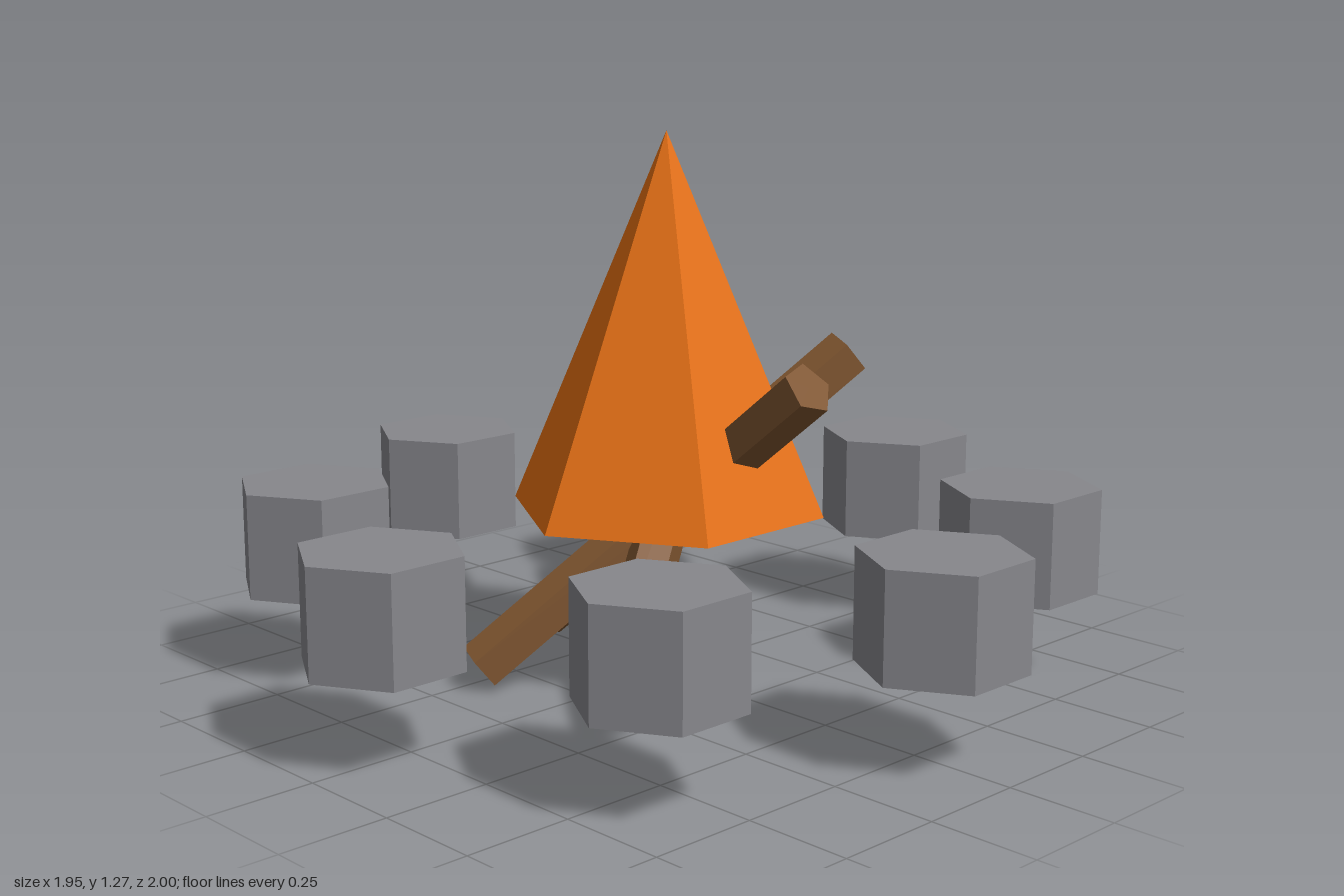
import * as THREE from 'three';

const material = (name, color) => {
  const m = new THREE.MeshStandardMaterial({ color, flatShading: true });
  m.name = name;
  return m;
};

export function createModel() {
  const model = new THREE.Group();
  model.name = 'campfire';
  const stoneGrey = material('stone grey', 0x87878c);
  const barkBrown = material('bark brown', 0x7f5530);
  const flameOrange = material('flame orange', 0xe67010);

  const add = (name, geometry, mat) => {
    const mesh = new THREE.Mesh(geometry, mat);
    mesh.name = name;
    model.add(mesh);
    return mesh;
  };

  // Ring of eight hexagonal stones, all facing the same way
  const stoneGeometry = new THREE.CylinderGeometry(0.185, 0.185, 0.246, 6);
  for (let i = 0; i < 8; i++) {
    const a = (i * Math.PI) / 4;
    add('stone' + (i + 1), stoneGeometry, stoneGrey)
      .position.set(Math.cos(a) * 0.815, 0.336, Math.sin(a) * 0.815);
  }

  // Three leaning five-sided logs crossing in the middle
  const logGeometry = new THREE.CylinderGeometry(0.062, 0.062, 1.12, 5);
  for (let i = 0; i < 3; i++) {
    const log = add('log' + (i + 1), logGeometry, barkBrown);
    log.position.y = 0.397;
    log.rotation.set(0, Math.PI + (i * Math.PI) / 3, 0.9);
  }

  // Six-sided flame
  add('flame', new THREE.ConeGeometry(0.371, 0.866, 6), flameOrange).position.y = 0.836;

  return model;
}
